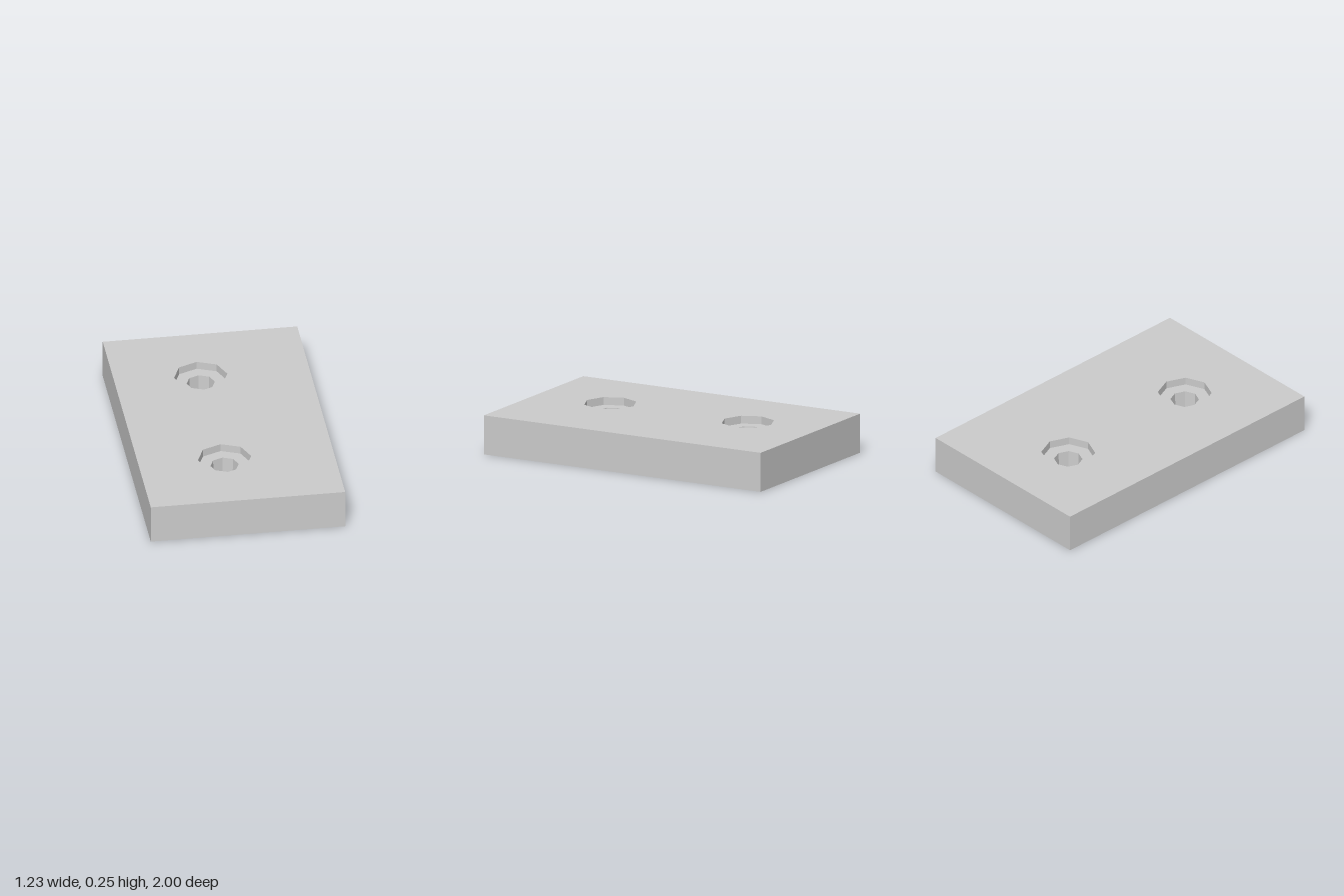
import * as THREE from 'three';

const W = 1.226, L = 2, H = 0.25;          // plate width, length, thickness
const HOLE_X = -0.07, HOLE_Z = [-0.507, 0.487];
const BORE_R = 0.168, BORE_DEPTH = 0.05;   // octagonal recess
const TOP_R = 0.089, BOTTOM_R = 0.08;      // slightly tapered through hole

const material = new THREE.MeshStandardMaterial({ color: 0xcccccc, flatShading: true });

function addPart(group, name, geometry) {
  const mesh = new THREE.Mesh(geometry, material);
  mesh.name = name;
  group.add(mesh);
  return mesh;
}

// Rectangular face with two octagonal openings; up = 1 faces up, -1 faces down
function plateFace(radius, up) {
  const shape = new THREE.Shape([[-1, -1], [1, -1], [1, 1], [-1, 1]]
    .map(([x, y]) => new THREE.Vector2(x * W / 2, y * L / 2)));
  for (const z of HOLE_Z) {
    const corners = [];
    for (let i = 0; i < 8; i++) {
      const a = -i * Math.PI / 4;
      corners.push(new THREE.Vector2(HOLE_X + radius * Math.cos(a), -up * z + radius * Math.sin(a)));
    }
    shape.holes.push(new THREE.Path(corners));
  }
  return new THREE.ShapeGeometry(shape).rotateX(-up * Math.PI / 2);
}

export function createModel() {
  const group = new THREE.Group();
  group.name = 'drilledPlate';

  // Top and bottom of the plate
  addPart(group, 'plateTop', plateFace(BORE_R, 1)).position.y = H;
  addPart(group, 'plateBottom', plateFace(BOTTOM_R, -1));

  // Four outer sides
  ['frontSide', 'leftSide', 'backSide', 'rightSide'].forEach((name, i) => {
    const [width, offset] = i % 2 ? [L, W / 2] : [W, L / 2];
    const side = new THREE.PlaneGeometry(width, H)
      .translate(0, H / 2, offset).rotateY(i * Math.PI / 2);
    addPart(group, name, side);
  });

  // Stepped hole linings, profile running from the rim down
  const profile = [[BORE_R, H], [BORE_R, H - BORE_DEPTH], [TOP_R, H - BORE_DEPTH], [BOTTOM_R, 0]]
    .map(([r, y]) => new THREE.Vector2(r, y));
  for (const z of HOLE_Z) {
    addPart(group, 'counterboredHole', new THREE.LatheGeometry(profile, 8)).position.set(HOLE_X, 0, z);
  }
  return group;
}
